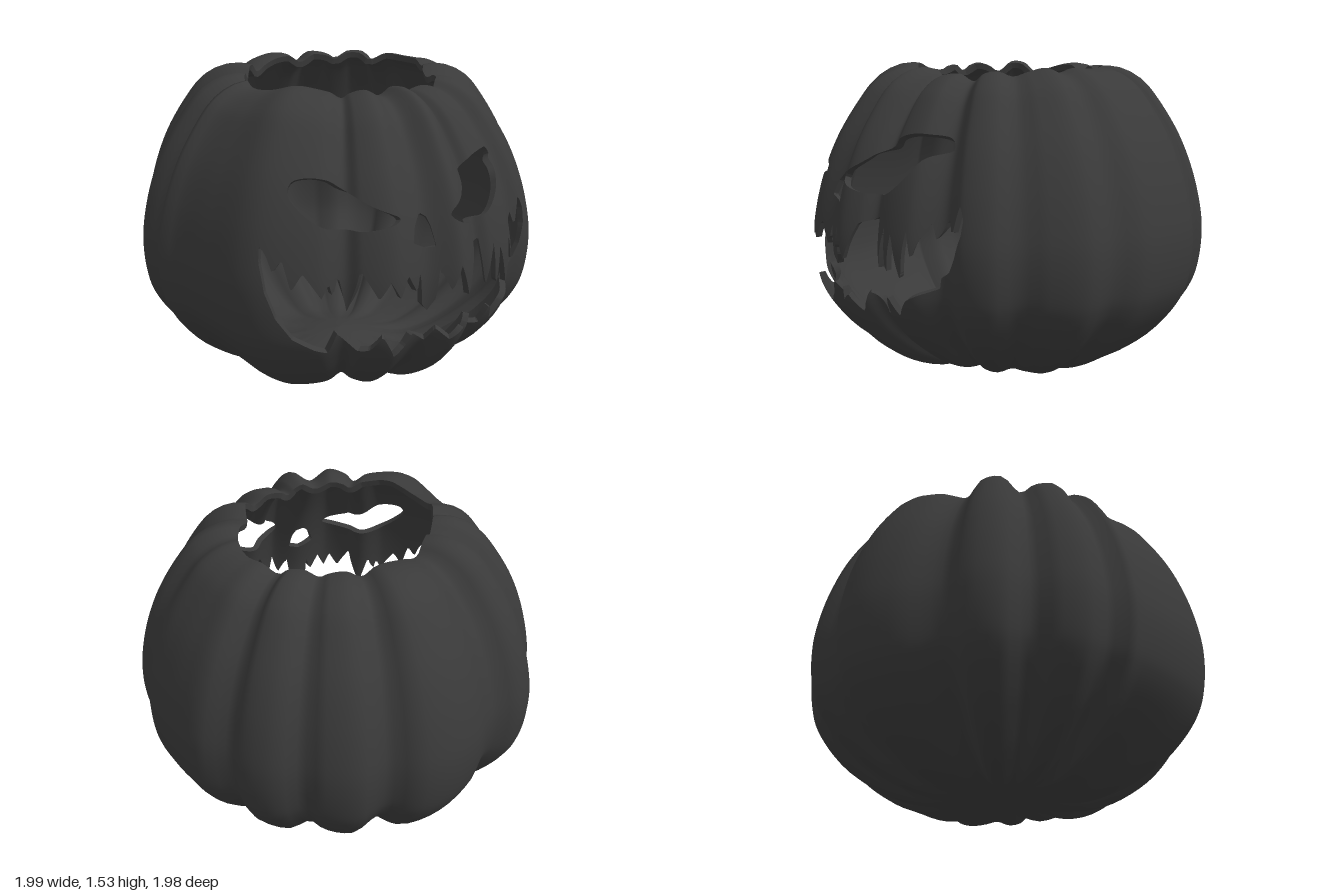
import * as THREE from 'three';

const V2 = (p) => new THREE.Vector2(p[0], p[1]);
const THICK = 0.03;

// Half section of the shell: [radius, height], from the bottom dimple to the open top
const profile = new THREE.SplineCurve([
  [0.004, 0.075], [0.13, 0.055], [0.25, 0.025], [0.37, 0.008], [0.5, 0.035], [0.635, 0.095], [0.785, 0.2], [0.88, 0.3], [0.948, 0.4],
  [0.985, 0.5], [1.003, 0.65], [0.993, 0.8], [0.945, 1.0], [0.862, 1.2], [0.735, 1.395], [0.645, 1.475], [0.55, 1.512], [0.46, 1.51], [0.34, 1.475],
].map(V2));

// Ribbed outline from above: [x, z], once around from the back
const outline = [
  [-0.02, -0.935], [-0.155, -0.99], [-0.315, -0.96], [-0.476, -0.856], [-0.625, -0.684], [-0.77, -0.65],
  [-0.866, -0.535], [-0.86, -0.37], [-0.945, -0.29], [-0.995, -0.16], [-0.945, 0], [-0.995, 0.08],
  [-0.945, 0.19], [-0.88, 0.4], [-0.79, 0.64], [-0.7, 0.74], [-0.5, 0.845], [-0.37, 0.85],
  [-0.315, 0.915], [-0.18, 0.98], [0, 0.935], [0.155, 0.99], [0.25, 0.93], [0.3, 0.855],
  [0.38, 0.865], [0.53, 0.8], [0.62, 0.66], [0.73, 0.63], [0.82, 0.535], [0.85, 0.4],
  [0.93, 0.29], [0.995, 0.134], [0.965, -0.015], [0.985, -0.16], [0.94, -0.32], [0.89, -0.44],
  [0.81, -0.58], [0.66, -0.67], [0.635, -0.765], [0.51, -0.86], [0.37, -0.87], [0.3, -0.935], [0.14, -0.99],
];

const smooth = (pts) => new THREE.CatmullRomCurve3(pts.map(([x, y]) => new THREE.Vector3(x, y, 0)), true)
  .getPoints(40).slice(0, -1).map((p) => [p.x, p.y]);

// Top opening, seen from above: [x, z]
const rim = smooth([[0, -0.455], [0.19, -0.42], [0.38, -0.33], [0.475, -0.21], [0.475, 0.015], [0.41, 0.13], [0.37, 0.33],
  [0.06, 0.43], [-0.29, 0.365], [-0.45, 0.22], [-0.505, 0.05], [-0.4, -0.21], [-0.26, -0.375]]);

// Carved openings, seen from the front: [x, y]
const rightEye = smooth([[-0.575, 1.14], [-0.55, 1.19], [-0.48, 1.205], [-0.4, 1.19], [-0.34, 1.15], [-0.25, 1.09],
  [-0.13, 1.03], [-0.2, 1.0], [-0.35, 0.98], [-0.45, 1.0], [-0.53, 1.06]]);
const leftEye = smooth([[0.115, 1.02], [0.2, 1.09], [0.27, 1.17], [0.34, 1.215], [0.44, 1.23], [0.5, 1.21],
  [0.54, 1.16], [0.495, 1.13], [0.46, 1.05], [0.38, 0.965], [0.3, 0.945], [0.2, 0.965]]);
const nose = [[-0.015, 1.03], [0.015, 1.01], [0.03, 0.97], [0.045, 0.88], [0, 0.875], [-0.07, 0.91], [-0.05, 0.98]];
const upperTeeth = [
  [-0.71, 0.93], [-0.69, 0.88], [-0.675, 0.81], [-0.635, 0.87], [-0.61, 0.73], [-0.56, 0.81], [-0.485, 0.69],
  [-0.45, 0.76], [-0.43, 0.69], [-0.4, 0.79], [-0.365, 0.61], [-0.32, 0.815], [-0.255, 0.685], [-0.205, 0.765],
  [-0.16, 0.685], [-0.115, 0.78], [-0.06, 0.685], [-0.04, 0.78], [-0.03, 0.62], [0, 0.58], [0.037, 0.635],
  [0.055, 0.78], [0.105, 0.675], [0.15, 0.79], [0.195, 0.64], [0.25, 0.815], [0.32, 0.85], [0.355, 0.61],
  [0.4, 0.82], [0.42, 0.57], [0.445, 0.8], [0.5, 0.575], [0.52, 0.82], [0.545, 0.68], [0.575, 0.85],
  [0.595, 0.77], [0.63, 0.87], [0.66, 0.79], [0.69, 0.94],
];
const lowerTeeth = [
  [0.72, 0.87], [0.72, 0.8], [0.69, 0.7], [0.65, 0.63], [0.61, 0.6], [0.6, 0.55], [0.5, 0.485], [0.43, 0.4],
  [0.4, 0.5], [0.36, 0.4], [0.31, 0.4], [0.27, 0.49], [0.22, 0.385], [0.19, 0.47], [0.12, 0.415], [0.05, 0.48],
  [0.02, 0.405], [-0.07, 0.48], [-0.1, 0.415], [-0.15, 0.365], [-0.23, 0.5], [-0.27, 0.415], [-0.31, 0.405],
  [-0.4, 0.5], [-0.43, 0.395], [-0.5, 0.425], [-0.6, 0.49], [-0.67, 0.595], [-0.71, 0.72], [-0.72, 0.85],
];
const openings = [rightEye, leftEye, nose, [...upperTeeth, ...lowerTeeth]];

// Signed distance to a polygon, negative inside
function polygonDistance(x, y, poly) {
  let best = 9, inside = false;
  poly.forEach(([bx, by], i) => {
    const [ax, ay] = poly[(i + poly.length - 1) % poly.length];
    const dx = bx - ax, dy = by - ay;
    const t = THREE.MathUtils.clamp(((x - ax) * dx + (y - ay) * dy) / (dx * dx + dy * dy), 0, 1);
    best = Math.min(best, Math.hypot(x - ax - t * dx, y - ay - t * dy));
    if ((ay > y) !== (by > y) && x < ax + dx * (y - ay) / dy) inside = !inside;
  });
  return inside ? -best : best;
}

// Radius of the ribbed outline at an angle measured from the front towards +x
function makeRibRadius() {
  const TAU = Math.PI * 2, curve = new THREE.CatmullRomCurve3(outline.map(([x, z]) => new THREE.Vector3(x, 0, z)), true);
  const polar = curve.getPoints(700).slice(0, -1).map((p) => [Math.atan2(p.x, p.z), Math.hypot(p.x, p.z)]).sort((a, b) => a[0] - b[0]);
  const last = polar[polar.length - 1], first = polar[0];
  const all = [[last[0] - TAU, last[1]], ...polar, [first[0] + TAU, first[1]]];
  return (angle) => {
    const a = angle - TAU * Math.floor((angle + Math.PI) / TAU);
    let lo = 0, hi = all.length - 1;
    while (hi - lo > 1) {
      const mid = (lo + hi) >> 1;
      if (all[mid][0] <= a) lo = mid; else hi = mid;
    }
    const span = all[hi][0] - all[lo][0] || 1;
    return THREE.MathUtils.lerp(all[lo][1], all[hi][1], (a - all[lo][0]) / span);
  };
}

// Evenly spaced values through [stop, number of steps] spans
function spans(start, list) {
  const out = [start];
  let from = start;
  for (const [to, n] of list) {
    for (let i = 1; i <= n; i++) out.push(from + (to - from) * i / n);
    from = to;
  }
  return out;
}

function buildShell() {
  const ribRadius = makeRibRadius();
  // Ribs push the section out along its own normal and fade towards the axis
  const surface = (a, v) => {
    const p = profile.getPointAt(v), t = profile.getTangentAt(v);
    const d = (ribRadius(a) - 1) * THREE.MathUtils.smoothstep(p.x, 0.12, 0.75);
    const r = p.x + t.y * d;
    return new THREE.Vector3(r * Math.sin(a), p.y - t.x * d, r * Math.cos(a));
  };
  const e = 0.006;
  const sample = (a, v) => {
    const p = surface(a, v);
    const da = surface(a + e, v).sub(surface(a - e, v));
    const dv = surface(a, Math.min(1, v + e / 3)).sub(surface(a, Math.max(0, v - e / 3)));
    const n = da.cross(dv).normalize();
    // Positive where the wall remains
    let f = 1;
    if (p.y > 1.3) f = polygonDistance(p.x, p.z, rim);
    else if (p.z > 0.3 && p.y > 0.3 && Math.abs(p.x) < 0.82) f = Math.min(...openings.map((o) => polygonDistance(p.x, p.y, o)));
    return { p, n, f };
  };

  const angles = spans(-0.98, [[0.98, 170], [2 * Math.PI - 0.98, 90]]);
  const rows = spans(0, [[0.37, 16], [0.84, 92], [0.93, 4], [1, 8]]);
  const grid = rows.map((v) => angles.map((a) => sample(a, v)));
  const pos = [], nor = [];
  const push = (p, n) => { pos.push(p.x, p.y, p.z); nor.push(n.x, n.y, n.z); };
  const inner = (s) => s.p.clone().addScaledVector(s.n, -THICK);

  // Wall closing the gap between the outside and the inside along a cut
  const cutWall = (s, t) => {
    const si = inner(s), ti = inner(t);
    const n = t.p.clone().sub(s.p).cross(s.n).normalize();
    for (const q of [s.p, si, t.p, t.p, si, ti]) push(q, n);
  };

  // Clip one triangle at the openings, then lay both skins
  const addTriangle = (tri) => {
    const keep = [];
    let leave = null, enter = null;
    tri.forEach((s, i) => {
      const t = tri[(i + 1) % 3];
      if (s.f > 0) keep.push(s);
      if ((s.f > 0) !== (t.f > 0)) {
        const k = s.f / (s.f - t.f);
        const c = { p: s.p.clone().lerp(t.p, k), n: s.n.clone().lerp(t.n, k).normalize() };
        keep.push(c);
        if (s.f > 0) leave = c; else enter = c;
      }
    });
    for (let i = 1; i + 1 < keep.length; i++) {
      const [a, b, c] = [keep[0], keep[i], keep[i + 1]];
      for (const s of [a, b, c]) push(s.p, s.n);
      for (const s of [a, c, b]) push(inner(s), s.n.clone().negate());
    }
    if (leave && enter) cutWall(leave, enter);
  };

  for (let j = 0; j + 1 < rows.length; j++) {
    for (let i = 0; i + 1 < angles.length; i++) {
      const a = grid[j][i], b = grid[j][i + 1], c = grid[j + 1][i + 1], d = grid[j + 1][i];
      addTriangle([a, b, c]);
      addTriangle([a, c, d]);
    }
  }
  const geometry = new THREE.BufferGeometry();
  geometry.setAttribute('position', new THREE.Float32BufferAttribute(pos, 3));
  geometry.setAttribute('normal', new THREE.Float32BufferAttribute(nor, 3));
  return geometry;
}

export function createModel() {
  const group = new THREE.Group();
  group.name = 'carvedPumpkin';
  const shell = new THREE.Mesh(buildShell(), new THREE.MeshStandardMaterial({ color: 0x3a3a3a, side: THREE.DoubleSide }));
  shell.name = 'pumpkinShell';
  group.add(shell);
  return group;
}
